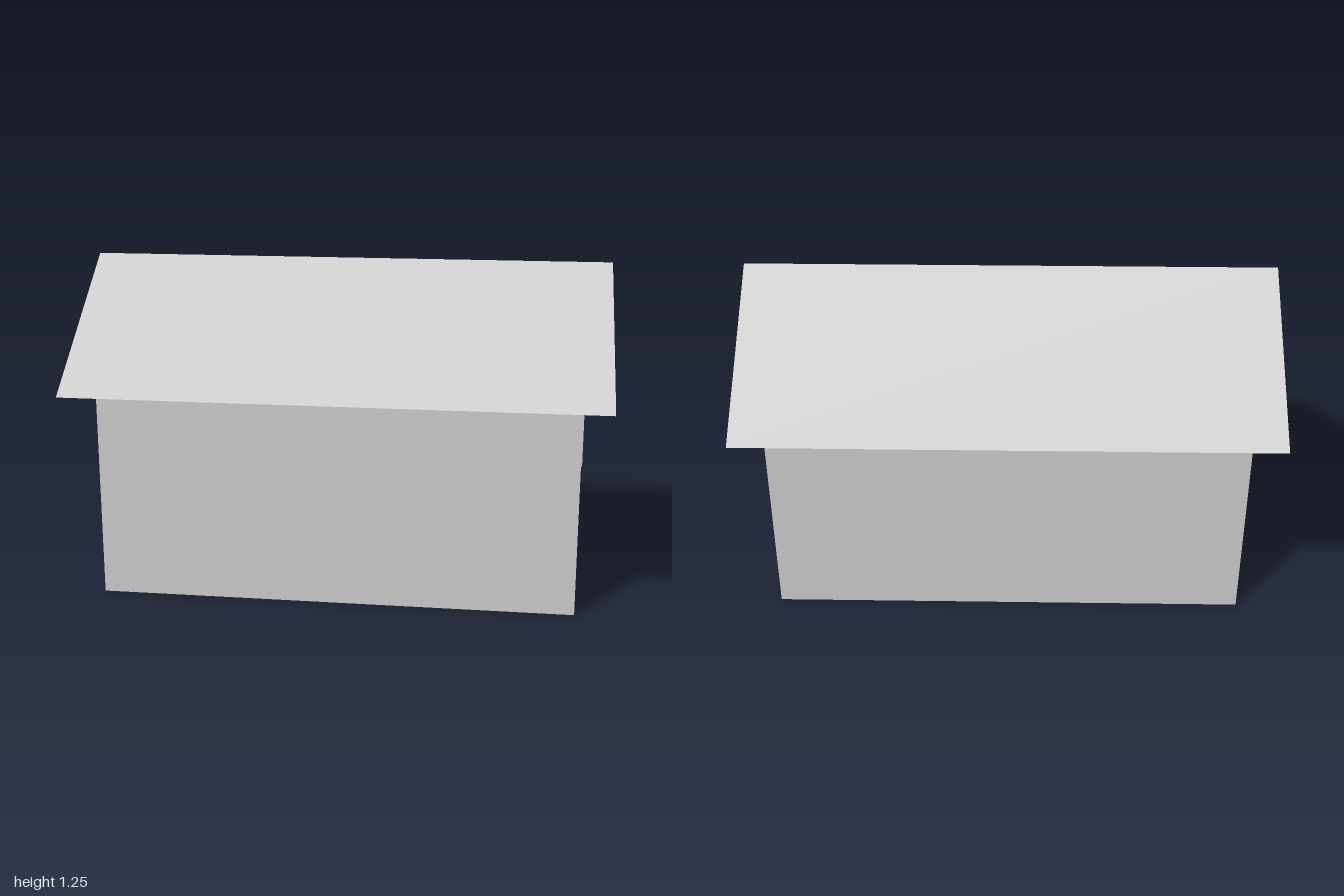
import * as THREE from 'three';

export function createModel() {
  const house = new THREE.Group();
  house.name = 'house';
  const grey = new THREE.MeshStandardMaterial({ color: 0xcccccc, flatShading: true });
  const sheet = new THREE.MeshStandardMaterial({ color: 0xcccccc, flatShading: true, side: THREE.DoubleSide });

  const add = (name, geometry, material = grey) => {
    const mesh = new THREE.Mesh(geometry, material);
    mesh.name = name;
    house.add(mesh);
    return mesh;
  };

  // Walls: gabled outline extruded along x
  const halfLength = 0.895, halfDepth = 0.448;
  const gable = new THREE.Shape([
    [-halfDepth, 0], [halfDepth, 0], [halfDepth, 0.9], [0, 1.238], [-halfDepth, 0.9],
  ].map(([x, y]) => new THREE.Vector2(x, y)));
  const walls = new THREE.ExtrudeGeometry(gable, { depth: halfLength * 2, bevelEnabled: false });
  walls.translate(0, 0, -halfLength).rotateY(Math.PI / 2);
  add('walls', walls);

  // Roof: two thin overhanging slopes meeting at the ridge
  const ridge = 1.247, eave = 0.8, reach = 0.583;
  const rise = ridge - eave;
  for (const [name, side] of [['frontRoofSlope', 1], ['backRoofSlope', -1]]) {
    const slope = new THREE.PlaneGeometry(2, Math.hypot(rise, reach));
    slope.rotateX(-Math.atan2(reach, rise));
    if (side < 0) slope.rotateY(Math.PI);
    add(name, slope, sheet).position.set(0, (ridge + eave) / 2, side * reach / 2);
  }

  // Gable windows: shallow panels set on the end walls
  const panel = (name, side, outerX, bottom) => {
    const depth = outerX - halfLength + 0.01;
    add(name, new THREE.BoxGeometry(depth, 0.363, 0.265))
      .position.set(side * (outerX - depth / 2), bottom + 0.1815, 0.002);
  };
  panel('leftWindow', 1, 0.914, 0.479);
  panel('rightWindow', -1, 0.92, 0.45);

  return house;
}
